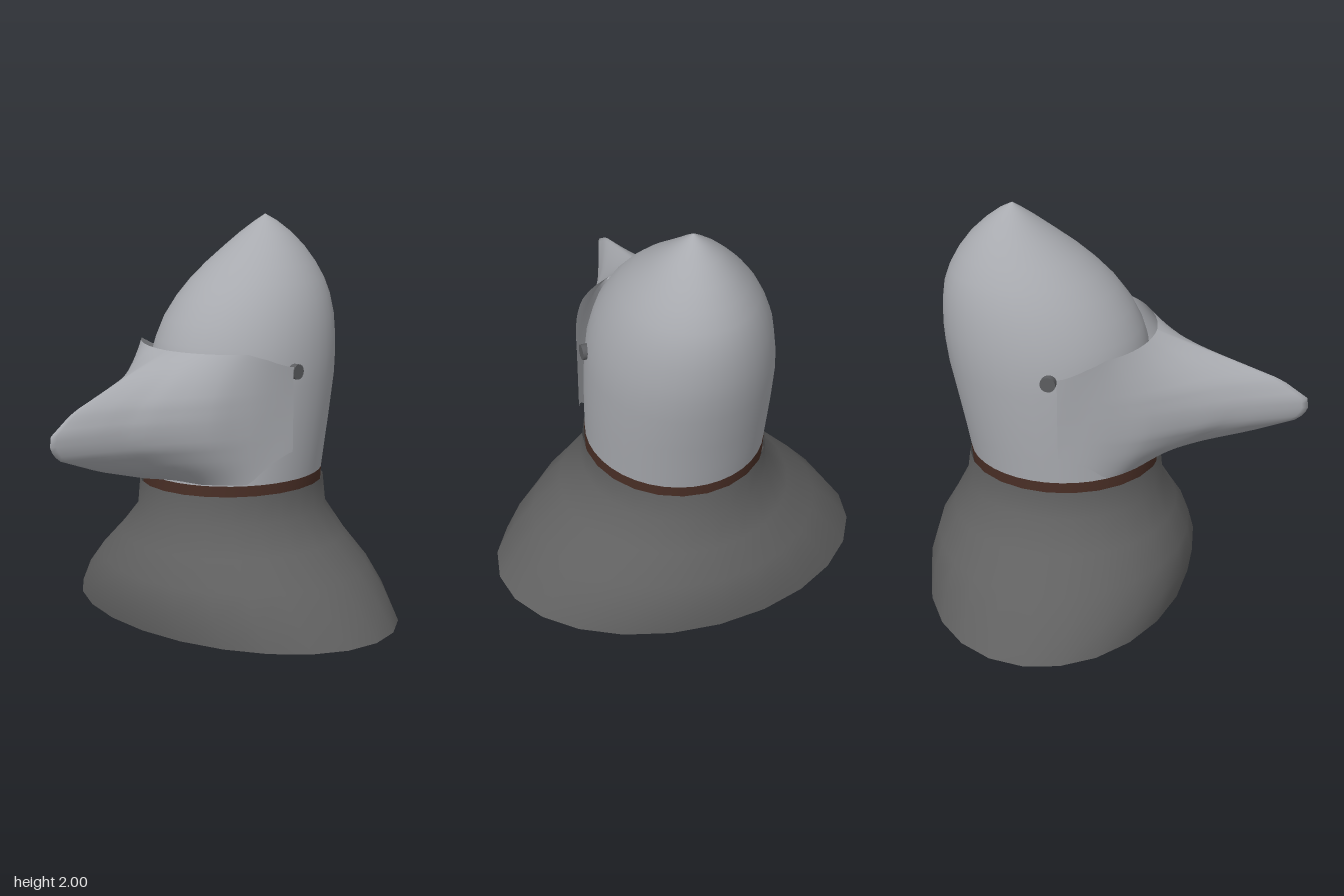
import * as THREE from 'three';

const material = (name, color) => {
  const m = new THREE.MeshStandardMaterial({ color, side: THREE.DoubleSide });
  m.name = name;
  return m;
};

// Piecewise-linear lookup in a list of [input, output] points
function lookup(points, v) {
  if (v <= points[0][0]) return points[0][1];
  for (let i = 1; i < points.length; i++) {
    const [a, p] = points[i - 1], [b, q] = points[i];
    if (v <= b) return p + (q - p) * (v - a) / (b - a);
  }
  return points[points.length - 1][1];
}

// Grid surface from f(column, row) -> [x, y, z]; optionally closed around
function surface(cols, rows, closed, f) {
  const pos = [], index = [], n = closed ? cols : cols + 1;
  for (let r = 0; r <= rows; r++)
    for (let c = 0; c < n; c++) pos.push(...f(c, r));
  for (let r = 0; r < rows; r++)
    for (let c = 0; c < cols; c++) {
      const a = r * n + c, b = r * n + (c + 1) % n;
      index.push(a, b, b + n, a, b + n, a + n);
    }
  const g = new THREE.BufferGeometry();
  g.setAttribute('position', new THREE.Float32BufferAttribute(pos, 3));
  g.setIndex(index);
  g.computeVertexNormals();
  return g;
}

// Elliptical loft through rings of [y, half width, front z, back z]
const loft = (rings, sides) => surface(sides, rings.length - 1, true, (c, r) => {
  const [y, w, front, back] = rings[r], a = c / sides * Math.PI * 2;
  return [w * Math.sin(a), y, (front + back) / 2 + (front - back) / 2 * Math.cos(a)];
});

export function createModel() {
  const steel = material('steel', 0xa8aaaf);
  const mail = material('dark mail', 0x616161);
  const leather = material('brown leather', 0x4a2f26);
  const rivet = material('dark rivet', 0x5c5d60);
  const group = new THREE.Group();
  const add = (name, geometry, mat) => {
    const mesh = new THREE.Mesh(geometry, mat);
    mesh.name = name;
    group.add(mesh);
    return mesh;
  };

  // Pointed skull with the apex set towards the back
  add('helmetSkull', loft([
    [0.73, 0.44, 0.2, -0.738], [0.85, 0.444, 0.19, -0.76], [1, 0.448, 0.18, -0.79],
    [1.2, 0.447, 0.17, -0.832], [1.32, 0.437, 0.155, -0.848], [1.4, 0.422, 0.13, -0.854],
    [1.5, 0.4, 0.08, -0.853], [1.6, 0.36, 0.005, -0.84], [1.68, 0.318, -0.075, -0.812],
    [1.76, 0.262, -0.17, -0.768], [1.84, 0.195, -0.28, -0.708], [1.91, 0.126, -0.375, -0.636],
    [1.965, 0.055, -0.448, -0.565], [2, 0.001, -0.499, -0.501]
  ], 40), steel);

  // Leather band between skull and mail
  add('leatherBand', loft([[0.64, 0.44, 0.207, -0.732], [0.735, 0.442, 0.209, -0.741]], 40), leather);

  // Flared mail collar, open below
  add('mailCollar', loft([
    [0, 0.94, 0.382, -0.96], [0.13, 0.848, 0.402, -0.956], [0.26, 0.73, 0.376, -0.92],
    [0.4, 0.582, 0.31, -0.84], [0.54, 0.462, 0.24, -0.768], [0.685, 0.452, 0.226, -0.748]
  ], 24), mail);

  // Beaked visor: rim wraps the skull, middle rows are drawn out to a beak
  const beakZ = [[0, 0.955], [0.02, 0.9], [0.05, 0.8], [0.115, 0.6], [0.21, 0.4], [0.32, 0.2], [0.4, 0], [0.465, -0.2]];
  const beakWeight = [[0.745, 0.1], [0.775, 0.22], [0.86, 0.6], [0.96, 0.94], [1.02, 1], [1.08, 0.99],
    [1.17, 0.82], [1.25, 0.53], [1.32, 0.26], [1.385, 0.01]];
  const topEdge = [[0.37, 1.385], [0.42, 1.355], [0.463, 1.31]];
  const bottomEdge = [[0, 0.775], [0.1, 0.768], [0.2, 0.745], [0.375, 0.745], [0.442, 0.86], [0.463, 0.89]];
  const cols = 48, rows = 24;
  add('visor', surface(cols, rows, false, (c, r) => {
    const s = c / cols * 2 - 1;
    const a = Math.sign(s) * Math.pow(Math.abs(s), 1.3) * 80 * Math.PI / 180;
    const x = 0.472 * Math.sin(a), side = Math.abs(x);
    const low = lookup(bottomEdge, side), high = lookup(topEdge, side);
    const y = low + (high - low) * r / rows;
    const rim = -0.28 + 0.475 * Math.cos(a);
    return [x, y, rim + lookup(beakWeight, y) * (lookup(beakZ, side) - rim)];
  }), steel);

  // Visor pivots
  for (const side of [-1, 1]) {
    const pivot = add(side > 0 ? 'leftPivot' : 'rightPivot', new THREE.CylinderGeometry(0.038, 0.038, 0.05, 16), rivet);
    pivot.rotation.z = Math.PI / 2;
    pivot.position.set(side * 0.432, 1.278, -0.245);
  }
  return group;
}
